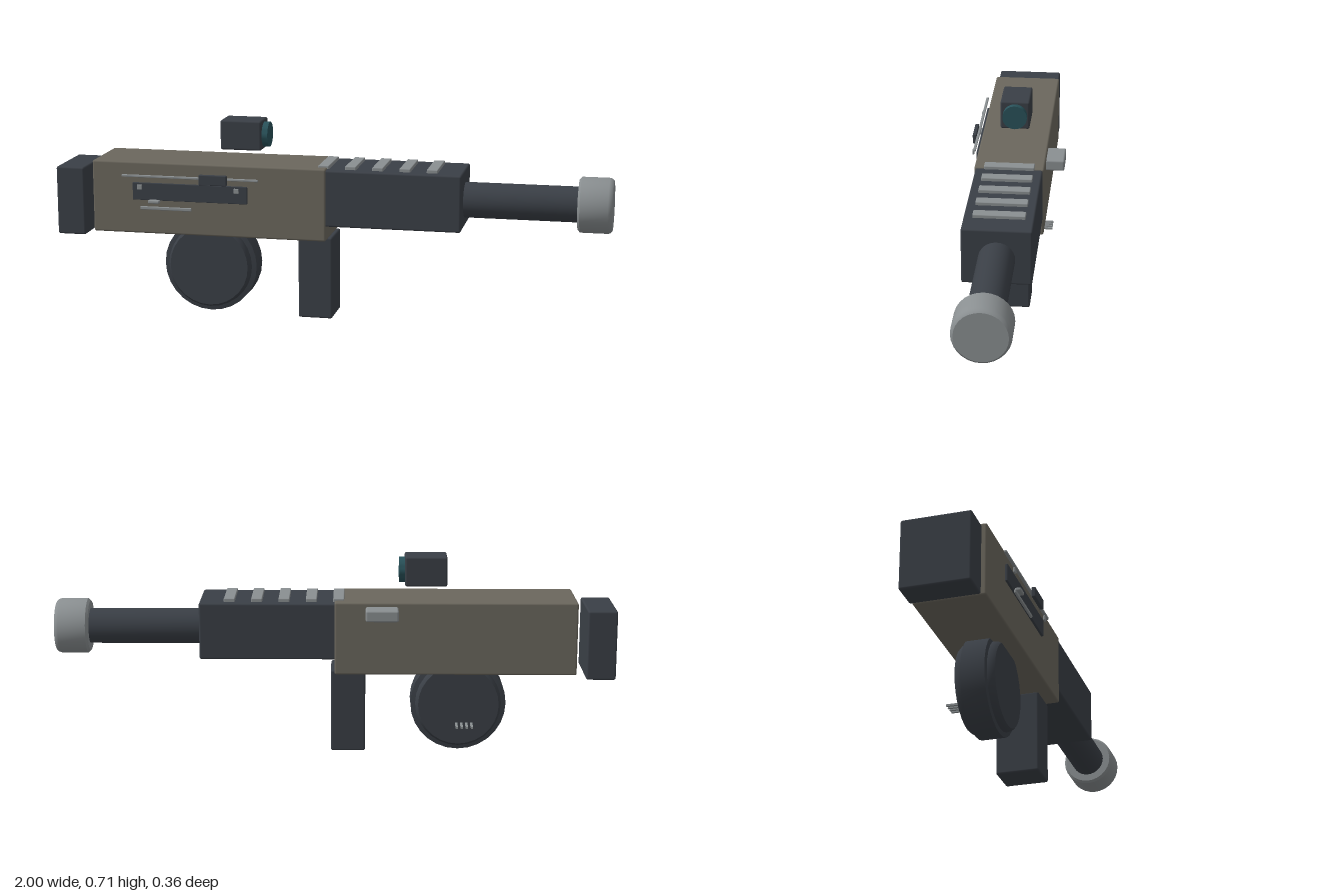
import * as THREE from 'three';
import { RoundedBoxGeometry } from 'three/addons/geometries/RoundedBoxGeometry.js';
import { toCreasedNormals } from 'three/addons/utils/BufferGeometryUtils.js';

const material = (name, color) => {
  const m = new THREE.MeshStandardMaterial({ color });
  m.name = name;
  return m;
};

export function createModel() {
  const model = new THREE.Group();
  model.name = 'launcher';
  const olive = material('olive drab', 0x6b675d);
  const dark = material('dark gunmetal', 0x3a3f46);
  const steel = material('light steel', 0x8a8f91);
  const glass = material('teal glass', 0x29525a);
  const axisY = 0.447, axisZ = 0.01;

  const add = (name, geometry, mat) => {
    const mesh = new THREE.Mesh(geometry, mat);
    mesh.name = name;
    model.add(mesh);
    return mesh;
  };

  // Box given by its limits, with softened edges when bevel > 0
  const box = (name, mat, [x0, x1], [y0, y1], [z0, z1], bevel = 0.007) => {
    const size = [x1 - x0, y1 - y0, z1 - z0];
    const geometry = bevel
      ? new RoundedBoxGeometry(...size, 2, bevel)
      : new THREE.BoxGeometry(...size);
    add(name, geometry, mat).position.set((x0 + x1) / 2, (y0 + y1) / 2, (z0 + z1) / 2);
  };

  // Turned part from [radius, height] pairs, bottom to top
  const turned = (points, sides = 28) => toCreasedNormals(
    new THREE.LatheGeometry(points.map(p => new THREE.Vector2(...p)), sides), 0.6);

  // Main housing, butt, fore-end and grip
  box('receiver', olive, [-0.86, 0], [0.298, 0.56], [-0.115, 0.135]);
  box('buttPad', dark, [-1, -0.895], [0.28, 0.53], [-0.11, 0.13]);
  box('foreEnd', dark, [-0.02, 0.48], [0.352, 0.555], [-0.11, 0.131]);
  box('grip', dark, [-0.11, 0.014], [0.002, 0.302], [-0.067, 0.088]);

  // Barrel and muzzle, turned about the long axis
  const barrel = add('barrel', turned([[0, 0], [0.063, 0], [0.063, 0.46], [0, 0.46]]), dark);
  barrel.position.set(0.45, axisY, axisZ);
  barrel.rotation.z = -Math.PI / 2;
  const muzzle = add('muzzle', turned([
    [0, 0], [0.09, 0], [0.098, 0.008], [0.098, 0.105], [0.095, 0.114], [0.088, 0.12], [0, 0.12],
  ]), steel);
  muzzle.position.set(0.88, axisY, axisZ);
  muzzle.rotation.z = -Math.PI / 2;

  // Drum magazine with raised caps on both faces
  const drum = add('drumMagazine', turned([
    [0, -0.07], [0.145, -0.07], [0.153, -0.06], [0.155, -0.045], [0.172, -0.042],
    [0.172, 0.042], [0.155, 0.045], [0.153, 0.06], [0.145, 0.07], [0, 0.07],
  ]), dark);
  drum.position.set(-0.445, 0.173, axisZ);
  drum.rotation.x = Math.PI / 2;
  for (let i = 0; i < 4; i++) {
    const x = -0.496 + i * 0.018;
    box('drumFin', steel, [x, x + 0.008], [0.101, 0.108], [-0.12, -0.06], 0);
  }

  // Ribs across the fore-end
  for (let i = 0; i < 5; i++) {
    const x = -0.034 + i * 0.097;
    box('topRib', steel, [x, x + 0.039], [0.545, 0.567], [-0.08, 0.1], 0.003);
  }

  // Sight
  box('sightBody', dark, [-0.4, -0.25], [0.603, 0.71], [-0.043, 0.064]);
  const lens = add('sightLens',
    toCreasedNormals(new THREE.CylinderGeometry(0.045, 0.045, 0.026, 28), 0.6), glass);
  lens.position.set(-0.242, 0.656, axisZ);
  lens.rotation.z = -Math.PI / 2;

  // Charging handle on the far side
  box('chargingHandle', steel, [-0.226, -0.11], [0.504, 0.545], [-0.181, -0.1], 0.007);

  // Side panel with rail, slider, screws and lever
  box('sidePanel', dark, [-0.703, -0.28], [0.426, 0.489], [0.148, 0.157], 0.002);
  box('sideRail', steel, [-0.742, -0.238], [0.51, 0.518], [0.155, 0.165], 0.002);
  box('slider', dark, [-0.452, -0.35], [0.493, 0.53], [0.164, 0.178], 0.003);
  for (const x of [-0.672, -0.315])
    box('panelScrew', steel, [x - 0.009, x + 0.009], [0.467, 0.485], [0.168, 0.175], 0.002);
  box('leverKnob', steel, [-0.64, -0.598], [0.419, 0.431], [0.161, 0.183], 0.004);
  box('lowerRod', steel, [-0.67, -0.48], [0.395, 0.407], [0.168, 0.176], 0.003);

  return model;
}
